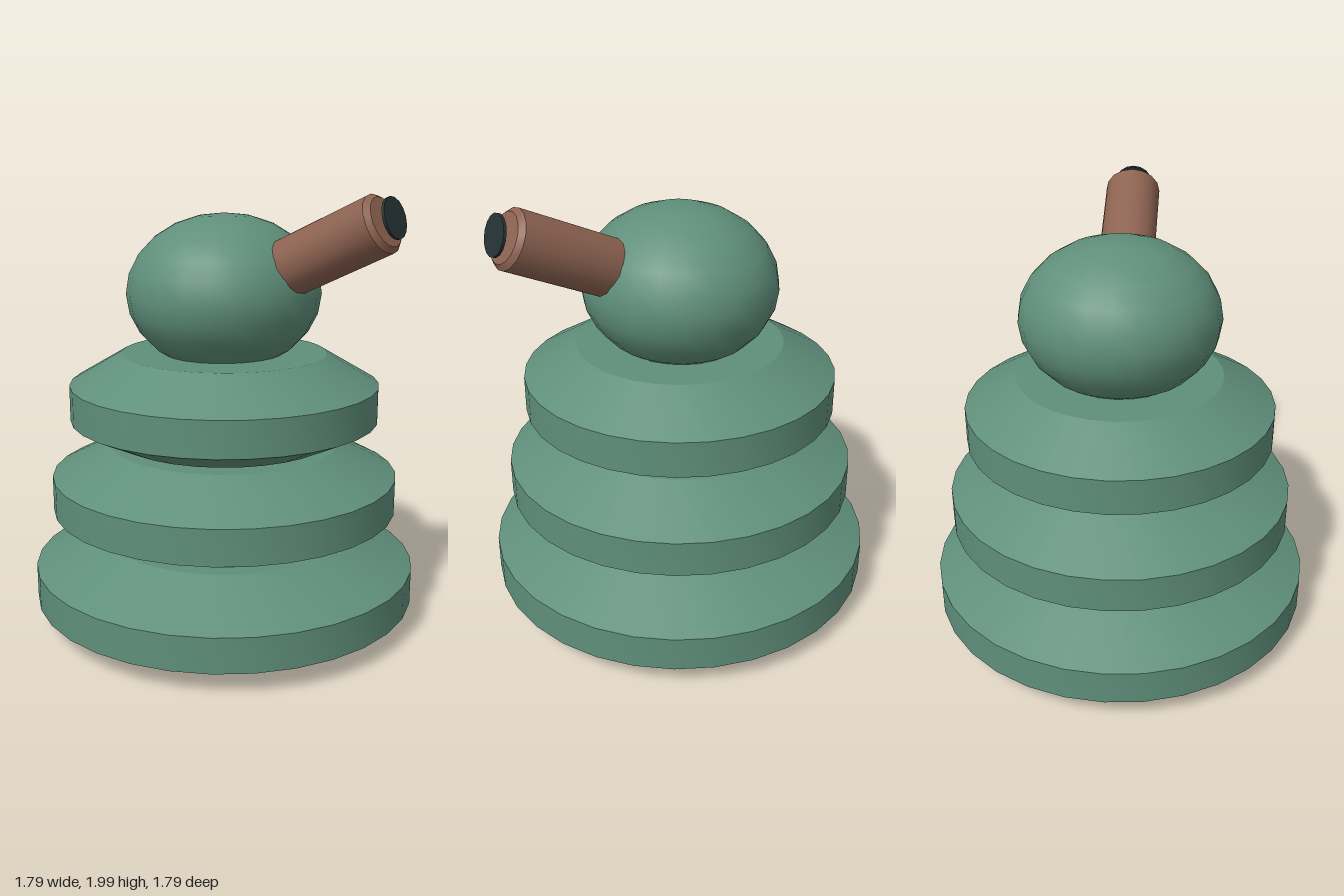
import * as THREE from 'three';
import { toCreasedNormals } from 'three/addons/utils/BufferGeometryUtils.js';

const material = (name, color) => new THREE.MeshStandardMaterial({ name, color });

// Smooth around the axis, sharp along the profile bends
function turned(profile, sides, crease) {
  const points = profile.map(([r, y]) => new THREE.Vector2(r, y));
  return toCreasedNormals(new THREE.LatheGeometry(points, sides), crease);
}

export function createModel() {
  const green = material('green', 0x5f8f7b);
  const brown = material('brown', 0x8d6351);
  const black = material('black', 0x263236);
  const model = new THREE.Group();

  const add = (name, geometry, mat, x = 0, y = 0, z = 0) => {
    const mesh = new THREE.Mesh(geometry, mat);
    mesh.name = name;
    mesh.position.set(x, y, z);
    model.add(mesh);
    return mesh;
  };

  // Stacked bevelled body rings: [bottom y, bottom r, lower y, middle r, upper y, top y, top r]
  [
    [0, 0.625, 0.105, 0.893, 0.265, 0.408, 0.59],
    [0.43, 0.565, 0.532, 0.803, 0.694, 0.834, 0.53],
    [0.858, 0.505, 0.957, 0.712, 1.12, 1.26, 0.473],
  ].forEach(([y0, r0, y1, r, y2, y3, r3], i) => {
    const profile = [[0, y0], [r0, y0], [r, y1], [r, y2], [r3, y3], [0, y3]];
    add(`bodyRing${i + 1}`, turned(profile, 32, 0.3), green);
  });

  // Squashed ball head
  add('head', new THREE.SphereGeometry(1, 24, 12), green, 0, 1.535, 0).scale.set(0.455, 0.355, 0.437);

  // Upward tilted barrel with a chamfered end
  const length = 0.62;
  const tilt = THREE.MathUtils.degToRad(65);
  const barrelProfile = [[0, -length], [0.13, -length], [0.13, -0.022], [0.108, 0], [0, 0]];
  add('barrel', turned(barrelProfile, 16, 0.5), brown, 0, 1.884, 0.812).rotation.x = tilt;

  // Dark muzzle disc just ahead of the barrel
  const muzzle = add('muzzleDisc', new THREE.CylinderGeometry(0.088, 0.088, 0.012, 16), black, 0, 1.9, 0.847);
  muzzle.rotation.x = THREE.MathUtils.degToRad(73);

  return model;
}
